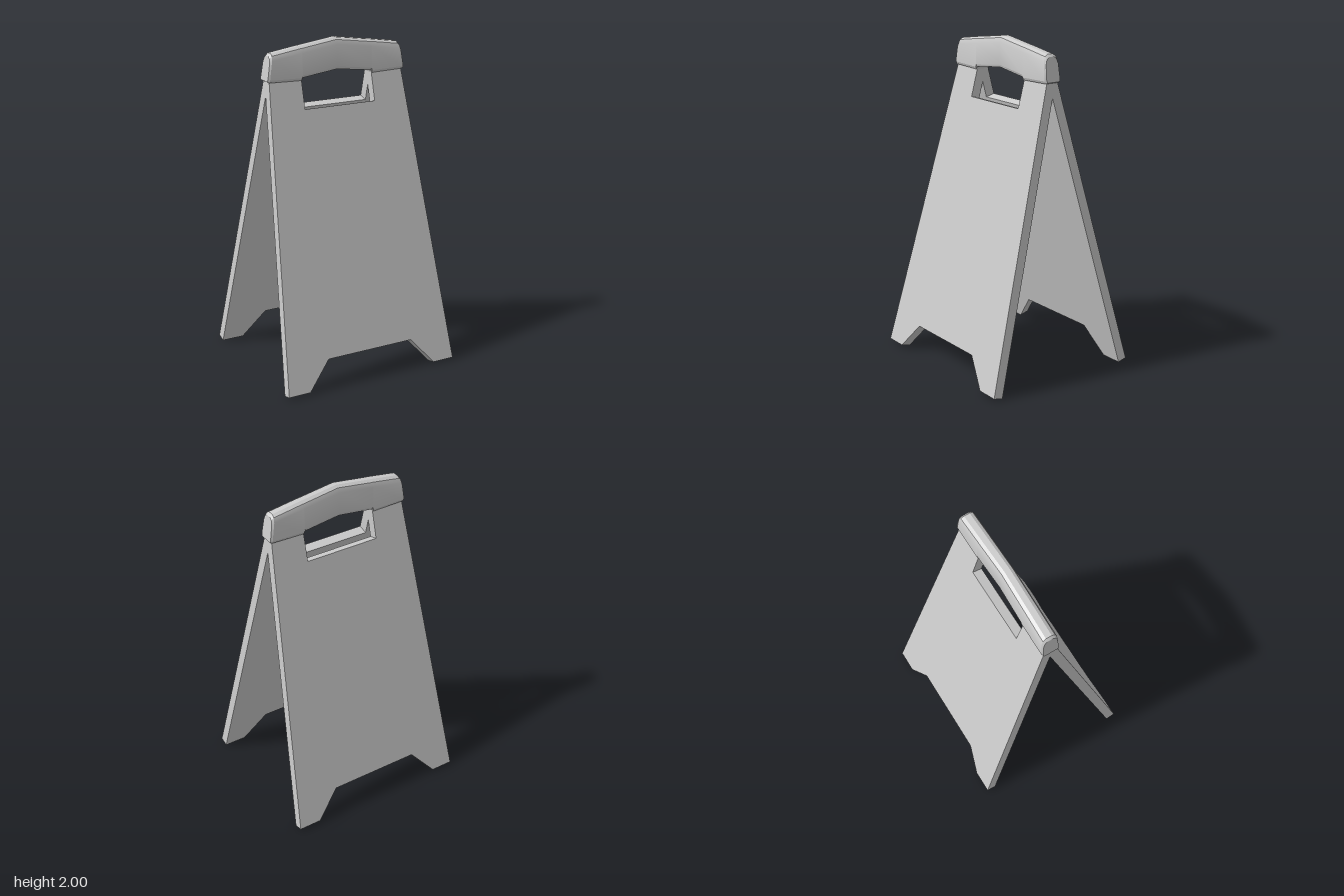
import * as THREE from 'three';
import { toCreasedNormals } from 'three/addons/utils/BufferGeometryUtils.js';

const material = new THREE.MeshStandardMaterial({ color: 0xcccccc });
const TILT = Math.atan(0.2645);

// Tapered board with two feet and a hand notch, open under the cap
function panelGeometry() {
  const half = [[0.57, 0], [0.438, 1.885], [0.235, 1.885], [0.235, 1.645]];
  const feet = [[-0.43, 0], [-0.285, 0.17], [0.285, 0.17], [0.43, 0]];
  const mirrored = half.map(([x, y]) => [-x, y]).reverse();
  const points = [...half, ...mirrored, ...feet].map(([x, y]) => new THREE.Vector2(x, y));
  return new THREE.ExtrudeGeometry(new THREE.Shape(points), { depth: 0.06, bevelEnabled: false });
}

// Ring of points across the cap, from the top over +z and round to -z
function capSection(x, bottom, top, scale, lean) {
  const side = [[0.018, top], [0.038, top - 0.012], [0.049, top - 0.04], [0.054, bottom + 0.015], [0.048, bottom]];
  const ring = [...side, ...side.map(([z, y]) => [-z, y]).reverse()];
  return ring.map(([z, y]) => [x - Math.sign(x) * lean * (y - bottom), y, z * scale]);
}

// Peaked handle cap, lofted along x with leaning ends and a stepped grip
function capGeometry() {
  const right = [
    [0.229, 1.786, 1.968, 0.97, 0],
    [0.235, 1.77, 1.968, 0.97, 0],
    [0.445, 1.776, 1.94, 1, 0.15],
    [0.456, 1.782, 1.925, 0.9, 0.15],
  ];
  const left = right.map(([x, ...rest]) => [-x, ...rest]).reverse();
  const rings = [...left, [0, 1.815, 2, 0.92, 0], ...right].map((s) => capSection(...s));
  const n = rings[0].length;
  const last = (rings.length - 1) * n;
  const index = [];
  for (let i = 0; i < rings.length - 1; i++) {
    for (let j = 0; j < n; j++) {
      const k = (j + 1) % n;
      const a = i * n + j, b = a + n, c = (i + 1) * n + k, d = i * n + k;
      index.push(a, d, c, a, c, b);
    }
  }
  for (let j = 1; j < n - 1; j++) {
    index.push(0, j + 1, j, last, last + j, last + j + 1);
  }
  const geometry = new THREE.BufferGeometry();
  geometry.setAttribute('position', new THREE.Float32BufferAttribute(rings.flat(2), 3));
  geometry.setIndex(index);
  return toCreasedNormals(geometry, 0.4);
}

export function createModel() {
  const model = new THREE.Group();
  model.name = 'foldingFloorSign';

  // Two boards leaning together
  const geometry = panelGeometry();
  for (const [name, turn] of [['frontPanel', 0], ['backPanel', Math.PI]]) {
    const side = new THREE.Group();
    side.name = name;
    side.rotation.y = turn;
    const board = new THREE.Mesh(geometry, material);
    board.name = name + 'Board';
    board.position.z = 0.447;
    board.rotation.x = -TILT;
    side.add(board);
    model.add(side);
  }

  // Handle joining them
  const cap = new THREE.Mesh(capGeometry(), material);
  cap.name = 'handleCap';
  model.add(cap);
  return model;
}
